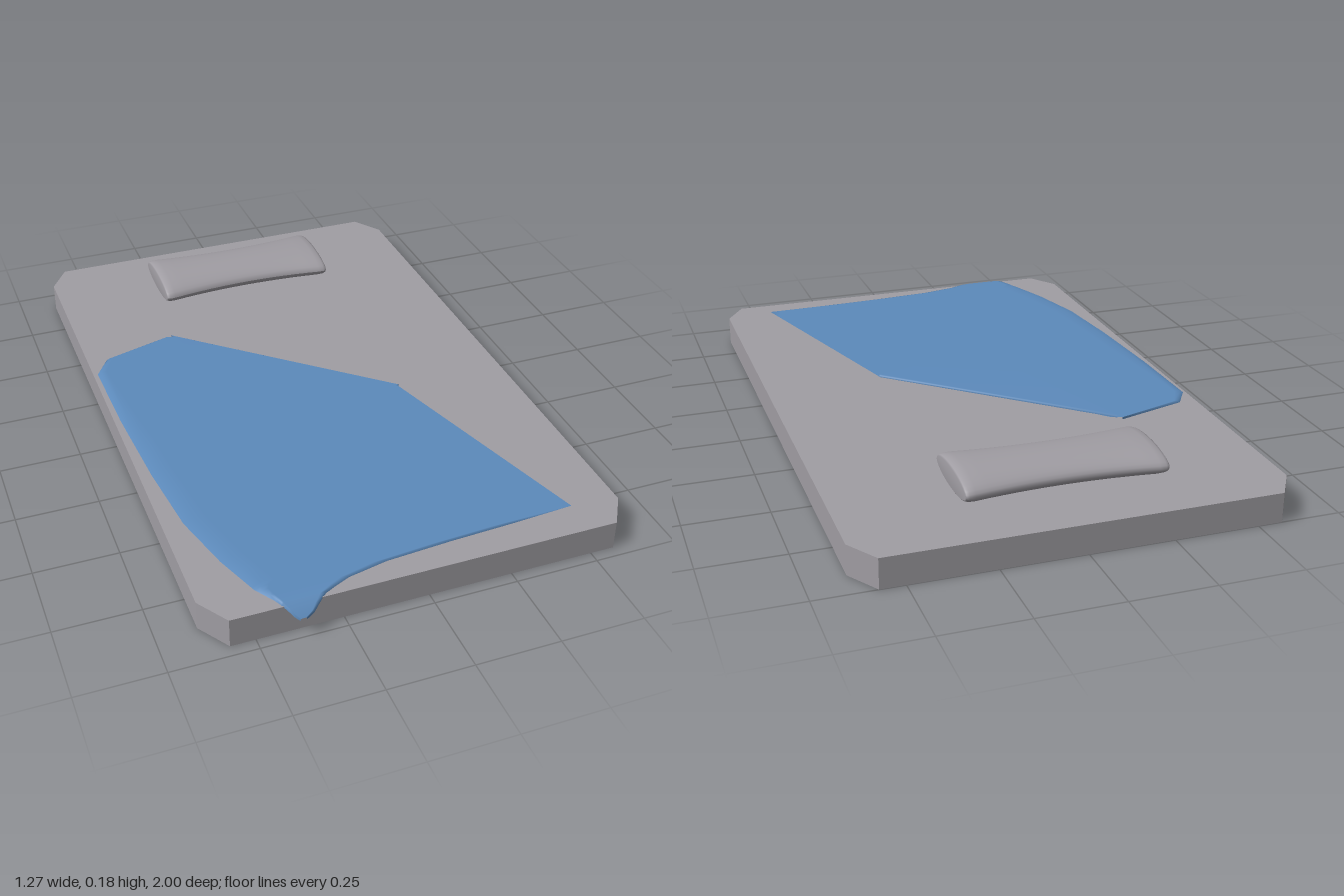
import * as THREE from 'three';

const grey = new THREE.MeshStandardMaterial({ color: 0xa09da3 });
grey.name = 'matGrey';
const blue = new THREE.MeshStandardMaterial({ color: 0x5c8abb, side: THREE.DoubleSide });
blue.name = 'blanketBlue';

function part(name, geometry, material) {
  const mesh = new THREE.Mesh(geometry, material);
  mesh.name = name;
  return mesh;
}

// Smooth surface from rows of equally many [x, y, z] points
function loft(rows) {
  const n = rows[0].length, index = [];
  for (let i = 0; i < rows.length - 1; i++) {
    for (let j = 0; j < n - 1; j++) {
      const a = i * n + j, b = a + 1, c = a + n, d = c + 1;
      index.push(a, c, b, b, c, d);
    }
  }
  const g = new THREE.BufferGeometry();
  g.setAttribute('position', new THREE.Float32BufferAttribute(rows.flat(2), 3));
  g.setIndex(index);
  g.computeVertexNormals();
  return g;
}

// Piecewise linear lookup of x at a given z in [z, x] pairs
function xAt(edge, z) {
  for (let i = 1; i < edge.length; i++) {
    const [z0, x0] = edge[i - 1], [z1, x1] = edge[i];
    if (z <= z1) return x0 + (x1 - x0) * (z - z0) / (z1 - z0);
  }
  return edge[edge.length - 1][1];
}

// Slab with cut corners
function mattress() {
  const outline = [[0.572, -1], [0.633, -0.905], [0.633, 0.87], [0.572, 0.965],
    [-0.572, 0.965], [-0.633, 0.87], [-0.633, -0.905], [-0.572, -1]];
  const shape = new THREE.Shape(outline.map(([x, z]) => new THREE.Vector2(x, -z)));
  const g = new THREE.ExtrudeGeometry(shape, { depth: 0.09, bevelEnabled: false });
  return g.rotateX(-Math.PI / 2);
}

// Lens-section cushion, pinched in the middle with rounded ends
function pillow() {
  const stations = [[-0.295, 0], [-0.295, 0.7], [-0.292, 0.82], [-0.284, 0.93], [-0.266, 1]];
  for (let i = -5; i <= 5; i++) stations.push([i * 0.045, 1]);
  for (let i = 4; i >= 0; i--) stations.push([-stations[i][0], stations[i][1]]);
  const rows = stations.map(([x, s]) => {
    const halfZ = 0.112 + 0.026 * Math.pow(Math.abs(x) / 0.29, 2);
    const width = s === 0 ? 0 : 0.75 + 0.25 * s;
    return Array.from({ length: 33 }, (_, k) => {
      const a = k / 32 * Math.PI * 2;
      return [x, 0.142 + 0.042 * s * Math.sin(a), -0.724 + halfZ * width * Math.cos(a)];
    });
  });
  return loft(rows);
}

// Blanket sheet: left and right borders along z, drooping over the foot
function blanket() {
  const left = [[-0.415, -0.35], [-0.35, -0.575], [-0.28, -0.62], [0, -0.615], [0.3, -0.598],
    [0.55, -0.573], [0.74, -0.525], [0.88, -0.475], [0.96, -0.425], [0.99, -0.402], [1, -0.388]];
  const right = [[-0.415, -0.35], [-0.4, -0.315], [-0.3, -0.22], [0.13, 0.265], [0.865, 0.482],
    [0.87, 0.3], [0.88, 0.1], [0.895, -0.1], [0.92, -0.22], [0.955, -0.3], [0.99, -0.345], [1, -0.37]];
  const columns = [0, 0.03, 0.07, 0.15, 0.3, 0.45, 0.6, 0.75, 0.88, 0.96, 1];
  const zs = [...new Set([...left, ...right].map(p => p[0]).concat(0.2, 0.4, 0.65, 0.8, 0.94, 0.975))]
    .sort((a, b) => a - b);
  return loft(zs.map(z => columns.map(t => {
    const x0 = xAt(left, z), x1 = xAt(right, z);
    const droop = 0.034 * Math.pow(Math.max(0, (z - 0.94) / 0.06), 1.8);
    const hem = t === 0 || (t === 1 && z > 0.866) ? 0.007 : 0;
    return [x0 + (x1 - x0) * t, 0.101 - droop - hem, z];
  })));
}

// Turned-back corner lying on the blanket, joined along the fold by a narrow rolled edge
function foldedCorner() {
  return loft([
    [[-0.335, 0.101, -0.413], [0.267, 0.101, 0.13]],
    [[-0.335, 0.106, -0.413], [0.267, 0.106, 0.13]],
    [[-0.335, 0.109, -0.407], [0.264, 0.109, 0.133]],
    [[-0.1, 0.109, 0.245], [-0.098, 0.109, 0.245]],
  ]);
}

export function createModel() {
  const model = new THREE.Group();
  model.name = 'sleepingMat';
  model.add(part('mattress', mattress(), grey));
  model.add(part('pillow', pillow(), grey));
  const cover = new THREE.Group();
  cover.name = 'blanket';
  cover.add(part('blanketSheet', blanket(), blue));
  cover.add(part('blanketFoldedCorner', foldedCorner(), blue));
  model.add(cover);
  return model;
}
